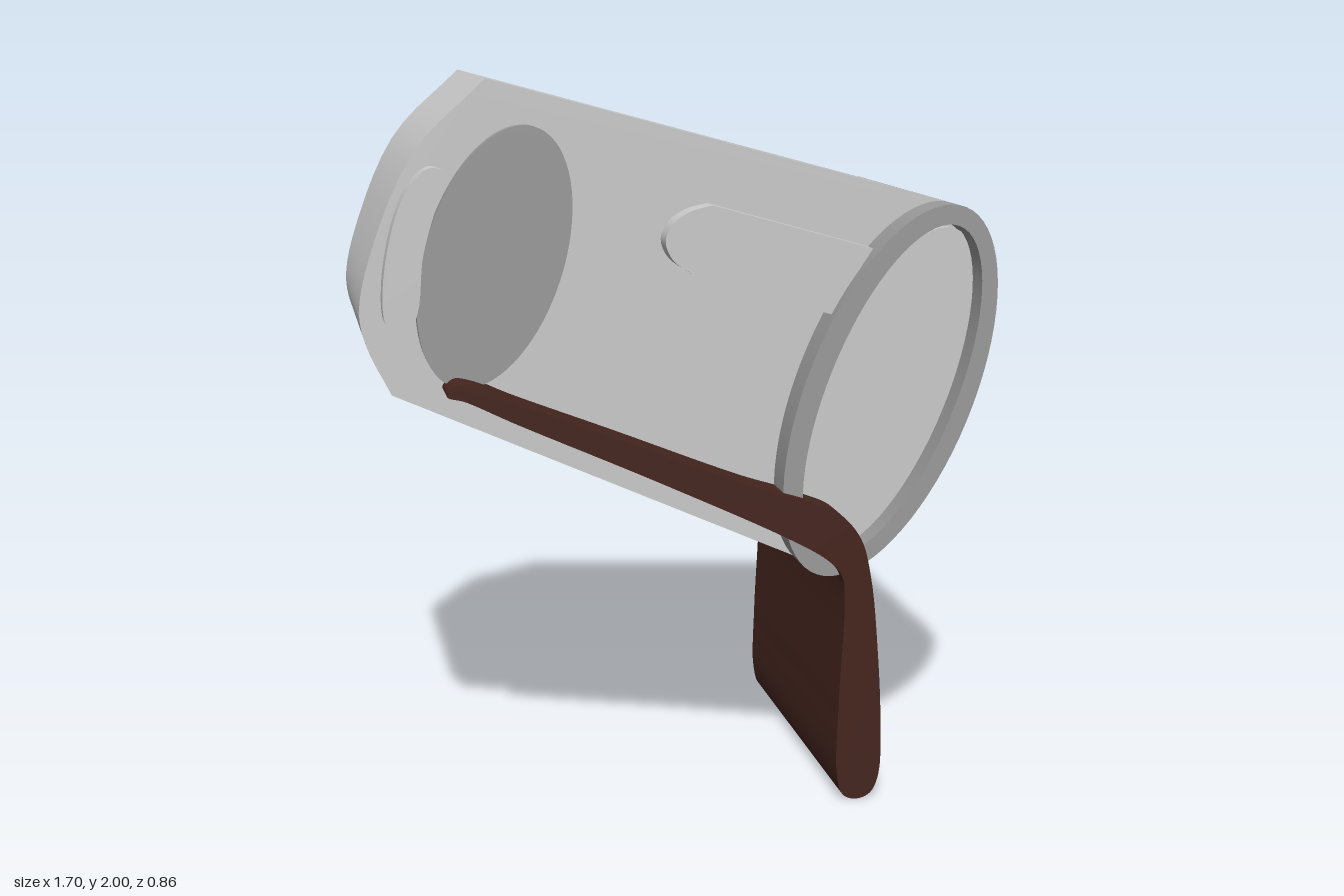
import * as THREE from 'three';
import { toCreasedNormals } from 'three/addons/utils/BufferGeometryUtils.js';

const grey = new THREE.MeshStandardMaterial({ color: 0xcccccc });
const darkGrey = new THREE.MeshStandardMaterial({ color: 0x9b9b9b });
const brown = new THREE.MeshStandardMaterial({ color: 0x46261f });

const vecs = (pts) => pts.map(([x, y]) => new THREE.Vector2(x, y));

// Smooth curve through points, sampled in the xy plane
function smooth(pts, closed = false, n = 40) {
  const curve = new THREE.CatmullRomCurve3(pts.map(([x, y]) => new THREE.Vector3(x, y, 0)), closed, 'centripetal');
  const out = curve.getPoints(n).map((p) => new THREE.Vector2(p.x, p.y));
  if (closed) out.pop();
  return out;
}

// Ellipse with its long axis leaning from vertical towards +x
function ellipse(x, y, long, short, leanDeg, n = 72) {
  const pts = new THREE.EllipseCurve(x, y, short, long, 0, Math.PI * 2, false, -leanDeg * Math.PI / 180).getPoints(n);
  pts.pop();
  return pts;
}

function createPart(group, name, points, z0, z1, material, hole) {
  const shape = new THREE.Shape(points);
  if (hole) shape.holes.push(new THREE.Path(hole));
  const geo = new THREE.ExtrudeGeometry(shape, { depth: z1 - z0, bevelEnabled: false });
  geo.translate(0, 0, z0);
  const mesh = new THREE.Mesh(toCreasedNormals(geo, 0.5), material);
  mesh.name = name;
  group.add(mesh);
}

export function createModel() {
  const group = new THREE.Group();
  group.name = 'tiltedHousing';
  const lean = 21.5;

  // Main tapered body with a curved rear end
  const rear = smooth([[-0.515, 2], [-0.70, 1.82], [-0.815, 1.57], [-0.85, 1.42], [-0.835, 1.33], [-0.775, 1.2]], false, 24);
  const front = smooth([[0.35, 0.675], [0.45, 0.68], [0.62, 0.87], [0.76, 1.17], [0.82, 1.45], [0.80, 1.59], [0.735, 1.66]], false, 24);
  createPart(group, 'body', [...rear, ...front], -0.31, 0.31, grey);

  // Wide elliptical end collar, open on both faces
  createPart(group, 'endCollar', ellipse(0.55, 1.16, 0.5345, 0.239, lean), -0.40, 0.40, darkGrey,
    ellipse(0.555, 1.16, 0.48, 0.185, lean));

  // Bent strap running through the body and down into a leg
  createPart(group, 'supportLeg', smooth([
    [-0.645, 1.215], [-0.62, 1.243], [-0.57, 1.235], [-0.47, 1.19], [-0.2, 1.08], [0.165, 0.93],
    [0.33, 0.875], [0.405, 0.84], [0.468, 0.765], [0.5, 0.65], [0.525, 0.44], [0.54, 0.22],
    [0.538, 0.07], [0.515, 0.015], [0.475, 0], [0.435, 0.015], [0.415, 0.08], [0.415, 0.28],
    [0.425, 0.6], [0.415, 0.665], [0.375, 0.71], [0.27, 0.775], [-0.1, 0.96], [-0.47, 1.135], [-0.6, 1.2],
  ], true, 150), -0.43, 0.43, brown);

  // Raised details repeated on both faces
  const pill = [
    ...smooth([[0.06, 1.675], [0, 1.66], [-0.045, 1.63], [-0.065, 1.585], [-0.045, 1.535], [0.01, 1.495]], false, 20),
    ...vecs([[0.395, 1.375], [0.44, 1.46], [0.5, 1.55]]),
  ];
  const crescent = smooth([
    [-0.745, 1.37], [-0.785, 1.39], [-0.793, 1.48], [-0.76, 1.65], [-0.715, 1.745], [-0.665, 1.785],
    [-0.62, 1.765], [-0.655, 1.68], [-0.69, 1.56], [-0.703, 1.44], [-0.72, 1.39],
  ], true, 60);
  for (const [side, s] of [['front', 1], ['back', -1]]) {
    const add = (name, pts, z, mat) => createPart(group, side + name, pts, s > 0 ? 0.3 : -z, s > 0 ? z : -0.3, mat);
    add('OvalPad', ellipse(-0.505, 1.55, 0.348, 0.179, 18.5), 0.34, darkGrey);
    add('CrescentPad', crescent, 0.37, grey);
    add('SideRib', pill, 0.37, grey);
    add('CollarInset', ellipse(0.572, 1.15, 0.475, 0.183, lean), 0.335, grey);
  }
  return group;
}
